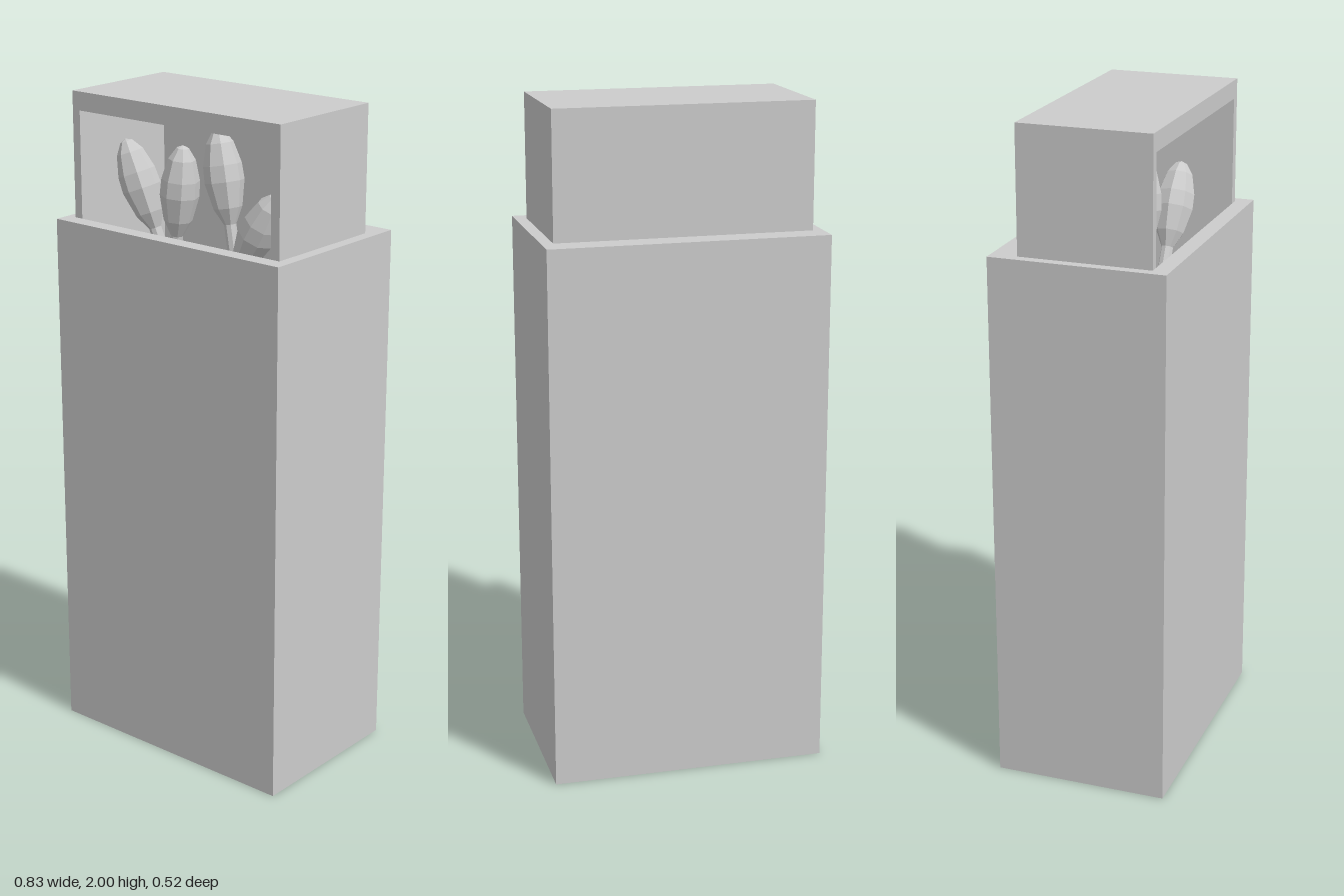
import * as THREE from 'three';

const smooth = new THREE.MeshStandardMaterial({ color: 0xcccccc });
const faceted = new THREE.MeshStandardMaterial({ color: 0xcccccc, flatShading: true });

const add = (parent, name, geometry, material = smooth) => {
  const mesh = new THREE.Mesh(geometry, material);
  mesh.name = name;
  parent.add(mesh);
  return mesh;
};

const rect = (C, x0, y0, x1, y1) => new C([[x0, y0], [x1, y0], [x1, y1], [x0, y1]].map(p => new THREE.Vector2(...p)));

// Rectangular frame: outer and inner bounds as [x0, y0, x1, y1], extruded along z
function frame(outer, inner, depth) {
  const shape = rect(THREE.Shape, ...outer);
  shape.holes.push(rect(THREE.Path, ...inner));
  return new THREE.ExtrudeGeometry(shape, { depth, bevelEnabled: false });
}

// Match with its head centred at the origin and its stick pointing down
function match(name, top, bottom, stickLength) {
  const a = new THREE.Vector3(...top), b = new THREE.Vector3(...bottom);
  const axis = a.clone().sub(b);
  const h = axis.length() / 2;
  const group = new THREE.Group();
  group.name = name;
  const profile = [[0.018, -1], [0.042, -0.65], [0.058, -0.1], [0.056, 0.25], [0.04, 0.7], [0.018, 0.94], [0, 1]]
    .map(([r, y]) => new THREE.Vector2(r, y * h));
  add(group, 'matchHead', new THREE.LatheGeometry(profile, 8), faceted);
  add(group, 'matchStick', new THREE.CylinderGeometry(0.018, 0.018, stickLength, 8), faceted)
    .position.y = -h * 0.95 - stickLength / 2;
  group.position.copy(a).add(b).multiplyScalar(0.5);
  group.quaternion.setFromUnitVectors(new THREE.Vector3(0, 1, 0), axis.normalize());
  return group;
}

export function createModel() {
  const model = new THREE.Group();
  model.name = 'matchbox';

  // Outer sleeve: thick walls around the tray, closed at the bottom
  const base = 0.03, sleeveTop = 1.625;
  const sleeve = add(model, 'sleeve',
    frame([-0.415, -0.262, 0.415, 0.262], [-0.385, -0.213, 0.38, 0.183], sleeveTop - base));
  sleeve.rotation.x = -Math.PI / 2;
  sleeve.position.y = base;
  add(model, 'sleeveBase', new THREE.BoxGeometry(0.83, base, 0.524)).position.y = base / 2;

  // Tray: open at the front, partly pulled out of the sleeve
  const tray = new THREE.Group();
  tray.name = 'tray';
  model.add(tray);
  const inner = [-0.358, 0.09, 0.35, 1.945];
  const back = -0.183, panel = 0.03;
  add(tray, 'trayWalls', frame([-0.385, base, 0.38, 2], inner, 0.396)).position.z = back;
  add(tray, 'trayBack', new THREE.BoxGeometry(inner[2] - inner[0], inner[3] - inner[1], panel))
    .position.set((inner[0] + inner[2]) / 2, (inner[1] + inner[3]) / 2, back + panel / 2);

  // Matches: head tip, head base, stick length
  [
    [[-0.285, 1.855, 0.1], [-0.19, 1.6, 0.08], 1],
    [[-0.08, 1.86, 0.08], [-0.105, 1.59, 0.08], 1.3],
    [[0.0, 1.91, 0.02], [0.055, 1.64, 0.03], 1.3],
    [[0.265, 1.765, 0.08], [0.135, 1.535, 0.08], 0.8],
  ].forEach((m, i) => model.add(match(`match${i + 1}`, ...m)));

  return model;
}
